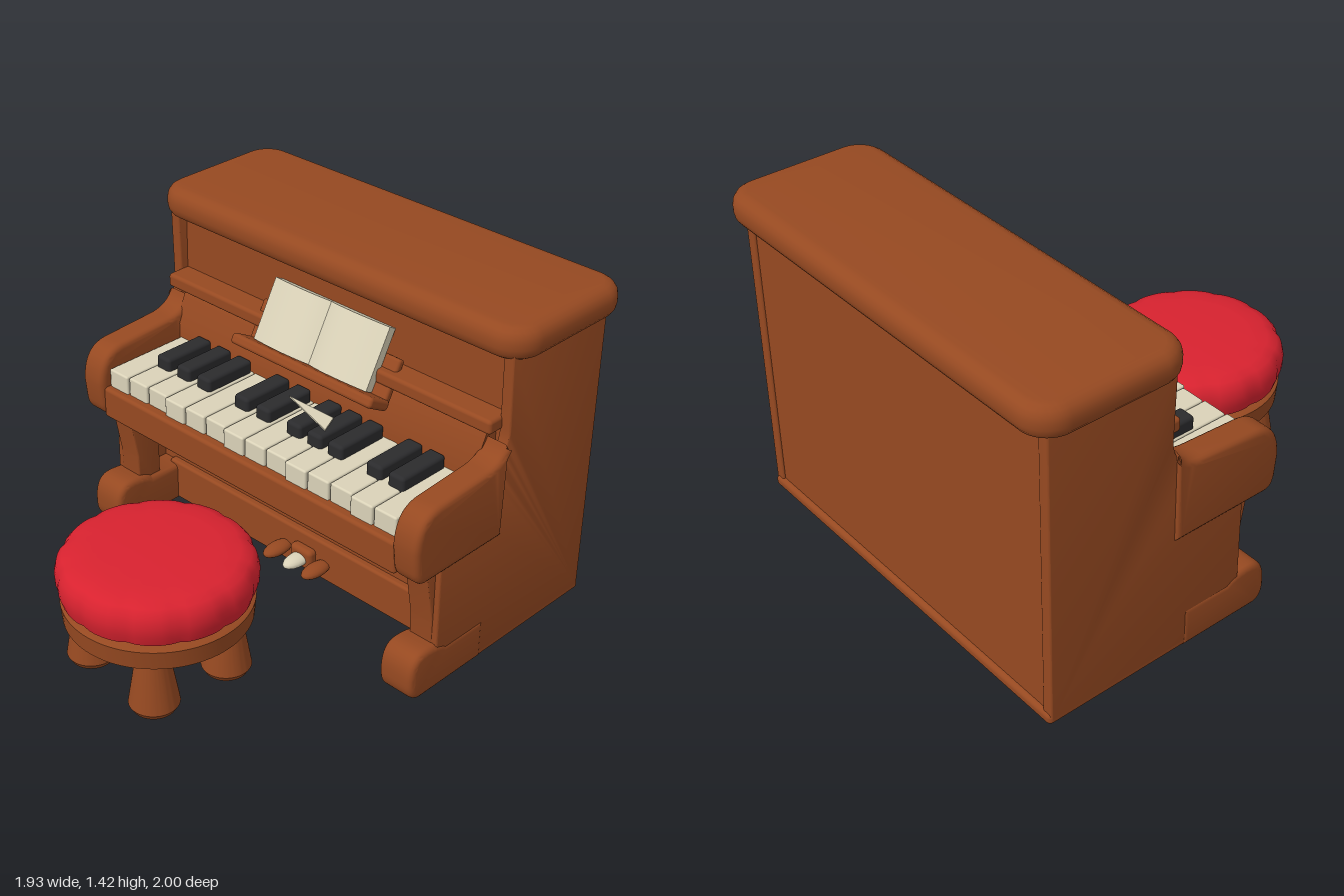
import * as THREE from 'three';
import { toCreasedNormals } from 'three/addons/utils/BufferGeometryUtils.js';
import { RoundedBoxGeometry } from 'three/addons/geometries/RoundedBoxGeometry.js';

const material = (name, color) => {
  const m = new THREE.MeshStandardMaterial({ color });
  m.name = name;
  return m;
};

export function createModel() {
  const wood = material('wood', 0x964921);
  const red = material('red fabric', 0xd8222f);
  const cream = material('cream', 0xdad2b8);
  const black = material('black', 0x2b2b2d);

  const model = new THREE.Group();
  model.name = 'pianoAndStool';
  const piano = new THREE.Group();
  piano.name = 'piano';
  const stool = new THREE.Group();
  stool.name = 'stool';
  stool.position.set(0.045, 0, 0.61);
  model.add(piano, stool);

  const add = (parent, name, geo, mat) => {
    const mesh = new THREE.Mesh(geo, mat);
    mesh.name = name;
    parent.add(mesh);
    return mesh;
  };
  // Box given by its limits on each axis, with optional rounding
  const box = (parent, name, mat, [x0, x1], [y0, y1], [z0, z1], r = 0) => {
    const size = [x1 - x0, y1 - y0, z1 - z0];
    const geo = r ? new RoundedBoxGeometry(...size, 3, r) : new THREE.BoxGeometry(...size);
    const mesh = add(parent, name, geo, mat);
    mesh.position.set((x0 + x1) / 2, (y0 + y1) / 2, (z0 + z1) / 2);
    return mesh;
  };
  const extrude = (shape, depth, bevel) => {
    const geo = new THREE.ExtrudeGeometry(shape, {
      depth: depth - 2 * bevel, curveSegments: 10, bevelEnabled: bevel > 0,
      bevelSize: bevel, bevelThickness: bevel, bevelOffset: -bevel, bevelSegments: 4,
    });
    geo.translate(0, 0, bevel);
    return toCreasedNormals(geo, 0.6);
  };
  // Side profile drawn in (z, y), spanning x0..x1
  const slab = (name, shape, x0, x1, bevel) => {
    const geo = extrude(shape, x1 - x0, bevel);
    geo.rotateY(-Math.PI / 2);
    geo.translate(x1, 0, 0);
    add(piano, name, geo, wood);
  };
  const bothSides = (name, shape, inner, outer, bevel) => {
    slab(name + 'Left', shape, inner, outer, bevel);
    slab(name + 'Right', shape, -outer, -inner, bevel);
  };
  const polygon = (pts) => new THREE.Shape(pts.map(([a, b]) => new THREE.Vector2(a, b)));

  // Case
  box(piano, 'upperCase', wood, [-0.88, 0.88], [0.5, 1.32], [-0.92, -0.41]);
  box(piano, 'lowerCase', wood, [-0.88, 0.88], [0.01, 0.6], [-0.92, -0.25]);
  box(piano, 'baseBoard', wood, [-0.8, 0.8], [0.01, 0.195], [-0.4, -0.22], 0.012);
  box(piano, 'baseSkirt', wood, [-0.91, 0.91], [0, 0.05], [-0.94, -0.25], 0.02);

  // Side panels with a curved shoulder above the arms
  const side = new THREE.Shape();
  side.moveTo(-0.93, 0.02);
  side.lineTo(-0.02, 0.02);
  side.lineTo(-0.02, 0.86);
  side.lineTo(-0.26, 0.87);
  side.quadraticCurveTo(-0.37, 0.88, -0.375, 1.0);
  side.lineTo(-0.365, 1.32);
  side.lineTo(-0.93, 1.32);
  bothSides('sidePanel', side, 0.86, 0.91, 0.008);

  // Rounded arms beside the keys
  const arm = new THREE.Shape();
  arm.moveTo(-0.36, 0.55);
  arm.lineTo(0.08, 0.55);
  arm.quadraticCurveTo(0.125, 0.55, 0.135, 0.61);
  arm.lineTo(0.145, 0.7);
  arm.quadraticCurveTo(0.14, 0.85, 0.02, 0.86);
  arm.lineTo(-0.24, 0.875);
  arm.quadraticCurveTo(-0.33, 0.88, -0.36, 0.95);
  bothSides('arm', arm, 0.8, 0.925, 0.025);

  // Tapered front legs and feet
  bothSides('frontLeg', polygon([[-0.14, 0.1], [-0.02, 0.1], [-0.015, 0.3], [0.035, 0.57], [-0.14, 0.57]]), 0.775, 0.885, 0.008);
  const foot = new THREE.Shape();
  foot.moveTo(-0.3, 0);
  foot.lineTo(0.07, 0);
  foot.quadraticCurveTo(0.125, 0.01, 0.125, 0.08);
  foot.quadraticCurveTo(0.13, 0.21, 0.04, 0.21);
  foot.quadraticCurveTo(-0.04, 0.21, -0.08, 0.18);
  foot.lineTo(-0.3, 0.18);
  bothSides('foot', foot, 0.75, 0.915, 0.025);

  // Lid with rounded corners
  const [w, d, r] = [0.965, 0.335, 0.13];
  const plan = new THREE.Shape();
  plan.moveTo(-w + r, -d);
  for (const [sx, sy, a] of [[1, -1, -0.5], [1, 1, 0], [-1, 1, 0.5], [-1, -1, 1]])
    plan.absarc(sx * (w - r), sy * (d - r), r, a * Math.PI, (a + 0.5) * Math.PI, false);
  const lid = extrude(plan, 0.135, 0.055);
  lid.rotateX(-Math.PI / 2);
  lid.translate(-0.003, 1.287, -0.665);
  add(piano, 'lid', lid, wood);

  // Ledge, sloping fall board and key bed
  box(piano, 'ledge', wood, [-0.87, 0.87], [0.99, 1.05], [-0.43, -0.305], 0.015);
  slab('fallBoard', polygon([[-0.45, 0.7], [-0.3, 0.7], [-0.3, 0.84], [-0.37, 1.0], [-0.45, 1.0]]), -0.82, 0.82, 0);
  box(piano, 'keyBed', wood, [-0.81, 0.81], [0.565, 0.685], [-0.4, 0.11]);
  box(piano, 'keySlip', wood, [-0.81, 0.81], [0.555, 0.695], [0.06, 0.13], 0.015);

  // Keys
  const keyWidth = 1.58 / 14;
  for (let i = 0; i < 14; i++) {
    const x = -0.8 + i * keyWidth;
    box(piano, 'whiteKey', cream, [x + 0.002, x + keyWidth - 0.002], [0.66, 0.775], [-0.31, 0.1 - 0.006 * (i % 3)], 0.008);
  }
  for (const x of [-0.64, -0.52, -0.4, -0.18, -0.06, 0.11, 0.22, 0.33, 0.53, 0.64])
    box(piano, 'blackKey', black, [x - 0.039, x + 0.039], [0.76, 0.83], [-0.3, -0.055], 0.015);

  // Loose triangular sheet on the keys
  const sheet = extrude(polygon([[-0.04, 0.19], [0.2, 0.19], [0.24, 0.1]]), 0.006, 0);
  sheet.rotateX(-Math.PI / 2);
  sheet.translate(0, 0.832, 0);
  add(piano, 'looseSheet', sheet, cream);

  // Music stand
  const stand = new THREE.Group();
  stand.name = 'musicStand';
  stand.position.set(0.01, 0.96, -0.24);
  stand.rotation.x = -0.5;
  piano.add(stand);
  box(stand, 'standLip', wood, [-0.38, 0.38], [-0.03, 0.015], [-0.07, 0.055], 0.015);
  box(stand, 'standBack', wood, [-0.37, 0.37], [-0.01, 0.18], [-0.08, -0.045], 0.012);

  // Open book: each half has a gently arched page surface
  for (const s of [-1, 1]) {
    const page = new THREE.Shape();
    page.moveTo(0, 0.04);
    page.lineTo(s * 0.3, 0.04);
    page.lineTo(s * 0.305, -0.005);
    page.quadraticCurveTo(s * 0.12, -0.06, 0, -0.005);
    const geo = extrude(page, 0.265, 0);
    geo.rotateX(-Math.PI / 2);
    geo.translate(0, 0.018, 0);
    add(stand, 'bookPages', geo, cream);
  }

  // Pedals
  box(piano, 'pedalPlate', wood, [-0.025, 0.095], [0.045, 0.14], [-0.23, -0.18], 0.02);
  for (const x of [-0.08, 0.035, 0.14]) {
    const pedal = add(piano, 'pedal', new THREE.SphereGeometry(0.04, 16, 10), x === 0.035 ? cream : wood);
    pedal.scale.set(1, 0.65, 2);
    pedal.position.set(x, 0.09, -0.17);
  }

  // Stool seat, cushion and legs
  const lathe = (name, pts, mat) =>
    add(stool, name, toCreasedNormals(new THREE.LatheGeometry(pts.map(([a, b]) => new THREE.Vector2(a, b)), 72), 0.7), mat);
  lathe('seat', [[0, 0.245], [0.355, 0.245], [0.37, 0.255], [0.377, 0.335], [0.365, 0.342], [0, 0.342]], wood);
  const cushion = lathe('cushion', [[0, 0.352], [0.35, 0.352], [0.376, 0.368], [0.389, 0.41], [0.391, 0.45],
    [0.382, 0.49], [0.36, 0.518], [0.32, 0.533], [0.24, 0.54], [0, 0.541]], red);
  // Shallow pleats around the rim
  const p = cushion.geometry.attributes.position;
  for (let i = 0; i < p.count; i++) {
    const [x, z] = [p.getX(i), p.getZ(i)];
    const rad = Math.hypot(x, z);
    if (rad < 0.3) continue;
    const k = 1 - 0.025 * (1 - Math.abs(Math.sin(6 * Math.atan2(z, x)))) ** 2;
    p.setX(i, x * k);
    p.setZ(i, z * k);
  }
  cushion.geometry = toCreasedNormals(cushion.geometry, 0.7);

  for (const [x, z] of [[-0.21, 0.17], [-0.2, -0.15], [0.185, 0.2], [0.215, -0.15]]) {
    const profile = [[0, 0.005], [0.085, 0.005], [0.1, 0.03], [0.062, 0.26], [0, 0.26]];
    const leg = lathe('stoolLeg', profile, wood);
    leg.position.set(x, 0, z);
  }
  return model;
}
